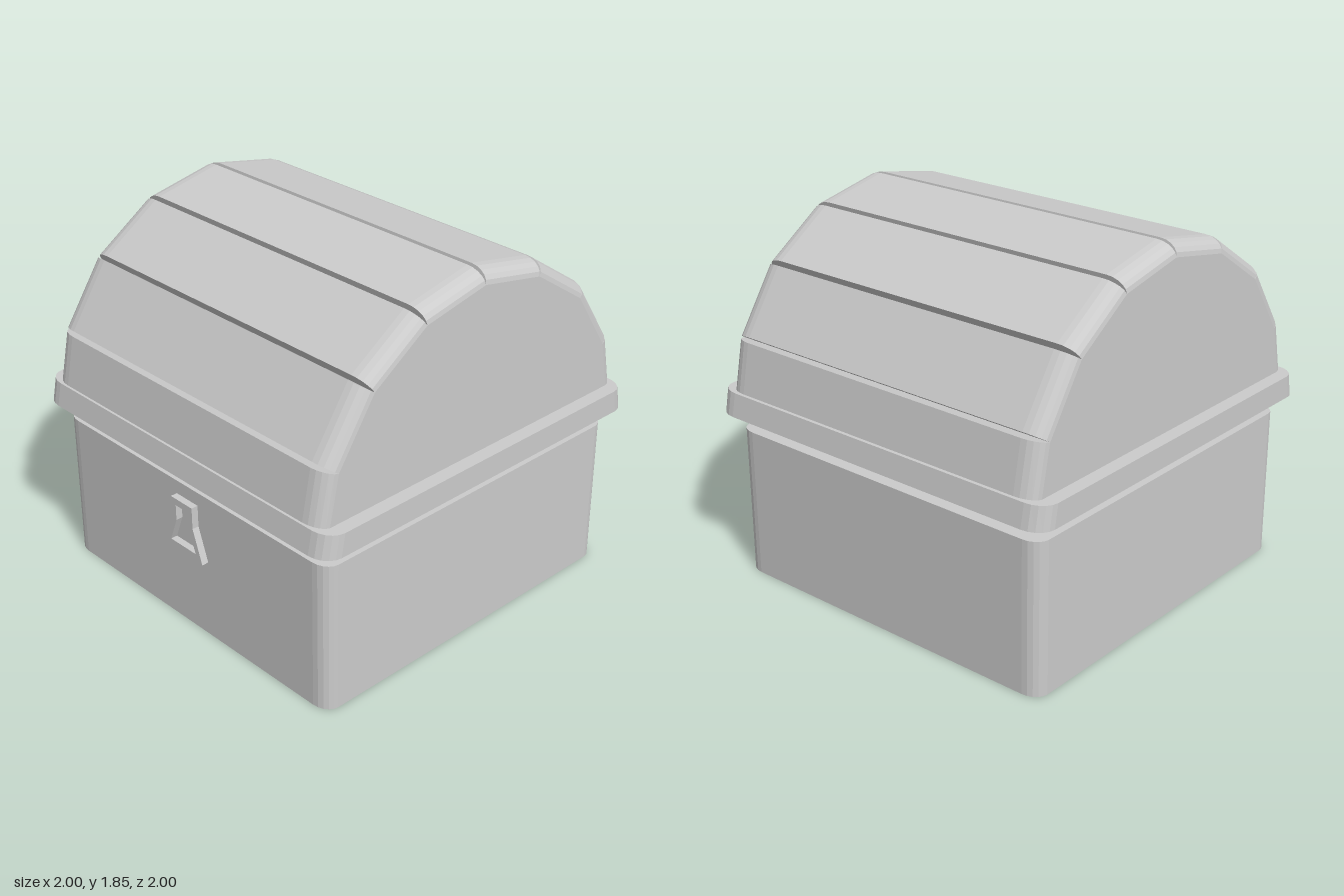
import * as THREE from 'three';

const material = new THREE.MeshStandardMaterial({ color: 0xcccccc, flatShading: true });

function add(group, name, geometry) {
  const mesh = new THREE.Mesh(geometry, material);
  mesh.name = name;
  group.add(mesh);
  return mesh;
}

// Upright slab with elliptically rounded vertical corners
function roundedSlab(hx, hz, y0, y1, rx, rz, steps = 5) {
  const points = [];
  for (let q = 0; q < 4; q++) {
    const sx = q === 0 || q === 3 ? 1 : -1;
    const sz = q < 2 ? 1 : -1;
    for (let i = 0; i <= steps; i++) {
      const a = (q + i / steps) * Math.PI / 2;
      points.push(new THREE.Vector2(sx * (hx - rx) + rx * Math.cos(a), sz * (hz - rz) + rz * Math.sin(a)));
    }
  }
  const geometry = new THREE.ExtrudeGeometry(new THREE.Shape(points), { depth: y1 - y0, bevelEnabled: false });
  return geometry.rotateX(-Math.PI / 2).translate(0, y0, 0);
}

// Lid cross-section: eight planks on a half circle, each pair split by a V groove
function lidProfile() {
  const centreY = 0.85, bottom = 0.965, grooveR = 0.93, gap = 0.013;
  const at = (i, r) => new THREE.Vector2(r * Math.cos(i * Math.PI / 8), centreY + r * Math.sin(i * Math.PI / 8));
  const right = [];
  for (let i = 0; i < 4; i++) {
    const a = at(i, 1), b = at(i + 1, 1);
    const dir = b.clone().sub(a).normalize();
    const lowGroove = i === 0 ? new THREE.Vector2(0.91, bottom) : at(i, grooveR);
    const low = i === 0
      ? a.clone().lerp(b, (bottom + 0.01 - a.y) / (b.y - a.y))
      : a.clone().addScaledVector(dir, gap);
    right.push({ outer: lowGroove, inner: lowGroove });
    right.push({ outer: low, inner: lowGroove });
    right.push({ outer: b.clone().addScaledVector(dir, -gap), inner: at(i + 1, grooveR) });
  }
  const flip = (p) => new THREE.Vector2(-p.x, p.y);
  const left = right.map((p) => ({ outer: flip(p.outer), inner: flip(p.inner) })).reverse();
  const top = at(4, grooveR);
  return [...right, { outer: top, inner: top }, ...left];
}

// Loft the cross-section along z, shrinking planks into the core at rounded ends
function lidGeometry(profile, halfLength) {
  const rounding = 0.1, steps = 5, stations = [];
  for (let i = 0; i <= steps; i++) {
    const a = (i / steps) * Math.PI / 2;
    stations.push({ z: halfLength - rounding + rounding * Math.sin(a), t: 1 - Math.cos(a) });
  }
  const rings = [...stations.map((s) => ({ z: -s.z, t: s.t })).reverse(), ...stations];
  const positions = [], index = [], n = profile.length;
  for (const { z, t } of rings) {
    for (const { outer, inner } of profile) {
      const p = outer.clone().lerp(inner, t);
      positions.push(p.x, p.y, z);
    }
  }
  for (let i = 0; i < rings.length - 1; i++) {
    for (let j = 0; j < n; j++) {
      const k = (j + 1) % n;
      const a = i * n + j, b = i * n + k;
      index.push(a, b, b + n, a, b + n, a + n);
    }
  }
  const geometry = new THREE.BufferGeometry();
  geometry.setAttribute('position', new THREE.Float32BufferAttribute(positions, 3));
  geometry.setIndex(index);
  geometry.computeVertexNormals();
  return geometry;
}

export function createModel() {
  const model = new THREE.Group();
  model.name = 'chest';

  // Body and the recessed neck under the lid
  add(model, 'body', roundedSlab(0.93, 0.93, 0, 0.76, 0.07, 0.09));
  add(model, 'neck', roundedSlab(0.83, 0.81, 0.755, 0.855, 0.03, 0.03));

  // Lid rim, its sides leaning in to follow the first plank
  const rim = roundedSlab(1, 1, 0.85, 0.965, 0.09, 0.11);
  const pos = rim.attributes.position;
  for (let i = 0; i < pos.count; i++) {
    if (pos.getY(i) > 0.9) pos.setX(i, pos.getX(i) * 0.977);
  }
  rim.computeVertexNormals();
  add(model, 'lidRim', rim);

  // Barrel lid with flat end faces
  const profile = lidProfile();
  const halfLength = 0.93;
  add(model, 'lidPlanks', lidGeometry(profile, halfLength));
  const endPoints = profile.map((p) => p.inner).filter((p, i, all) => i === 0 || p.distanceTo(all[i - 1]) > 1e-4);
  const endShape = new THREE.Shape(endPoints);
  add(model, 'lidFrontEnd', new THREE.ShapeGeometry(endShape)).position.z = halfLength;
  const back = add(model, 'lidBackEnd', new THREE.ShapeGeometry(endShape));
  back.rotation.y = Math.PI;
  back.position.z = -halfLength;

  // Open latch plate on the right side, flaring towards its foot
  const outline = (top, waist, foot, yTop, yWaist, yFoot) => [
    [-foot, yFoot], [foot, yFoot], [waist, yWaist], [top, yTop], [-top, yTop], [-waist, yWaist],
  ].map(([x, y]) => new THREE.Vector2(x, y));
  const latch = new THREE.Shape(outline(0.075, 0.075, 0.135, 0.69, 0.58, 0.41));
  latch.holes.push(new THREE.Path(outline(0.042, 0.042, 0.09, 0.655, 0.575, 0.45).reverse()));
  const latchGeometry = new THREE.ExtrudeGeometry(latch, { depth: 0.04, bevelEnabled: false });
  add(model, 'latch', latchGeometry.rotateY(-Math.PI / 2).translate(-0.925, 0, 0));

  return model;
}
